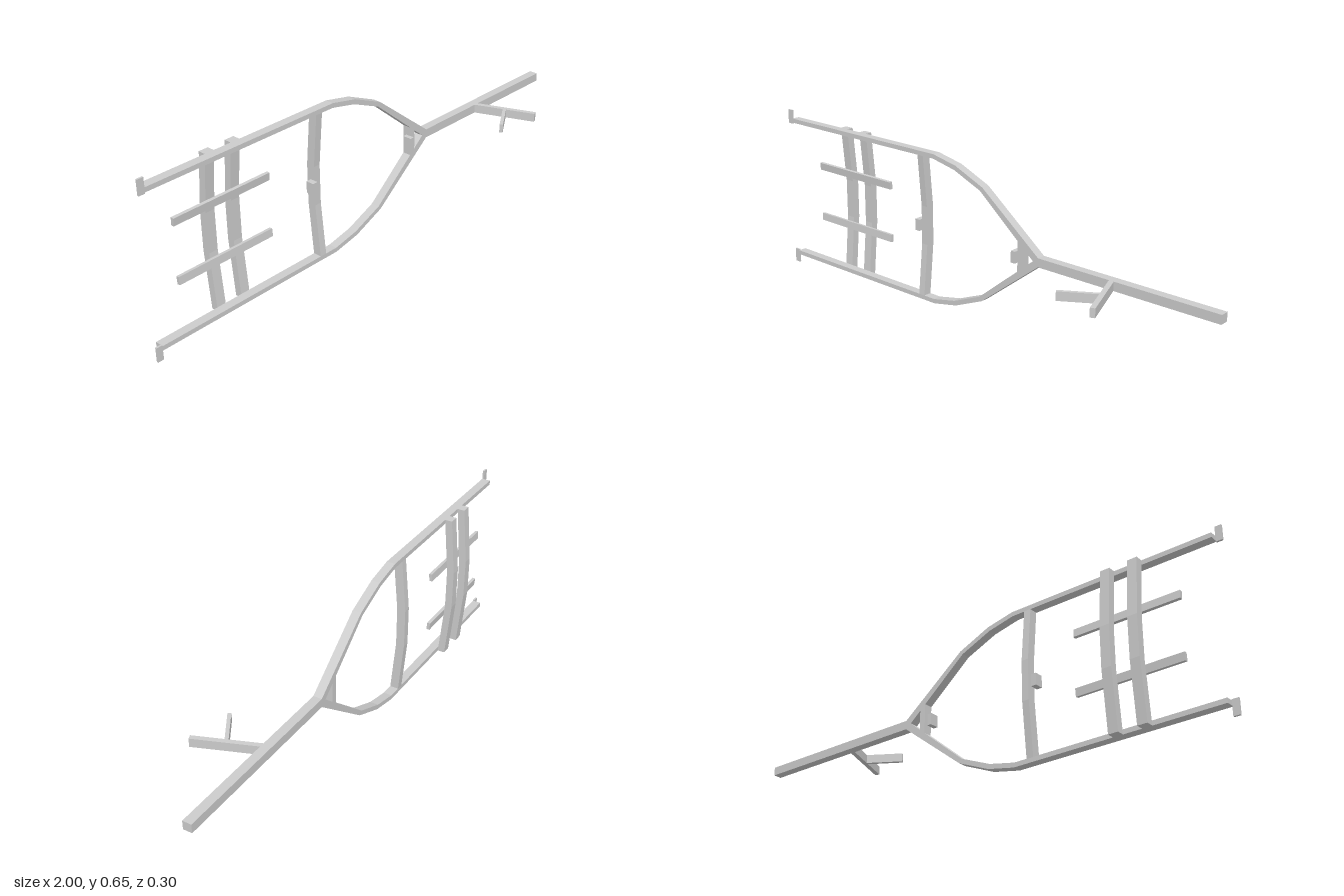
import * as THREE from 'three';

const material = new THREE.MeshStandardMaterial({ color: 0xcccccc, flatShading: true });
const MID = 0.325; // height of the frame's centre line
const FRONT = -0.071, BACK = -0.104; // z faces of the main tubes

export function createModel() {
  const group = new THREE.Group();

  const add = (name, geometry) => {
    const mesh = new THREE.Mesh(geometry, material);
    mesh.name = name;
    group.add(mesh);
    return mesh;
  };

  // Box given by its extents along each axis
  const block = (name, [x0, x1], [y0, y1], [z0, z1]) => {
    const mesh = add(name, new THREE.BoxGeometry(x1 - x0, y1 - y0, z1 - z0));
    mesh.position.set((x0 + x1) / 2, (y0 + y1) / 2, (z0 + z1) / 2);
    return mesh;
  };

  const extrude = (points, depth) => new THREE.ExtrudeGeometry(
    new THREE.Shape(points.map(([x, y]) => new THREE.Vector2(x, y))),
    { depth, bevelEnabled: false });

  // Cross beam with a bowed middle; d0 and d1 are depths behind z = 0
  const bowedBeam = (name, x, width, halfLength, d0, d1, bow) => {
    const h = halfLength, m = 0.075;
    const g = extrude([
      [d0, -h], [d1, -h], [d1 + bow, -m], [d1 + bow, m],
      [d1, h], [d0, h], [d0 + bow, m], [d0 + bow, -m],
    ], width);
    g.rotateY(Math.PI / 2);
    add(name, g).position.set(x - width / 2, MID, 0);
  };

  // Flat bar in the xz plane between two points
  const bar = (name, [x0, z0], [x1, z1], thickness) => {
    const dx = x1 - x0, dz = z1 - z0;
    const mesh = add(name, new THREE.BoxGeometry(Math.hypot(dx, dz), 0.033, thickness));
    mesh.position.set((x0 + x1) / 2, MID, (z0 + z1) / 2);
    mesh.rotation.y = -Math.atan2(dz, dx);
  };

  // Side rails that curve in to the tongue, outer edge then inner edge
  const rail = [
    [-0.977, 0.291], [-0.2, 0.291], [-0.093, 0.269], [0.034, 0.215], [0.288, 0.016], [0.288, 0],
    [0.265, 0], [0.023, 0.201], [-0.099, 0.252], [-0.202, 0.274], [-0.977, 0.274],
  ];
  for (const s of [1, -1]) {
    const side = s > 0 ? 'upper' : 'lower';
    add(side + 'Rail', extrude(rail.map(([x, y]) => [x, s * y]), FRONT - BACK))
      .position.set(0, MID, BACK);

    // End bracket
    const y0 = MID + s * 0.27, y1 = MID + s * 0.325;
    block(side + 'EndBracket', [-1, -0.977], [Math.min(y0, y1), Math.max(y0, y1)], [-0.078, FRONT]);

    // Bunk slat lying on the sloping part of the cross beams
    const slat = block(side + 'Slat', [-0.862, -0.464], [-0.0145, 0.0145], [-0.006, 0.006]);
    slat.position.y = MID + s * 0.107;
    slat.position.z = -0.115;
    slat.rotation.x = s * 0.09;
  }

  // Cross beams
  for (const x of [-0.707, -0.603]) bowedBeam('rearCrossBeam', x, 0.036, 0.291, 0.104, 0.132, 0.02);
  bowedBeam('middleCrossBeam', -0.266, 0.027, 0.275, -FRONT, -BACK, 0.019);
  block('frontCrossBeam', [0.197, 0.22], [MID - 0.058, MID + 0.058], [BACK, FRONT]);

  // Mounting tabs
  block('middleTab', [-0.3, -0.279], [0.303, 0.347], [-0.108, -0.076]);
  block('frontTab', [0.18, 0.198], [0.303, 0.347], [-0.09, -0.055]);

  // Tongue with its angled leg and brace
  block('tongue', [0.285, 0.995], [MID - 0.0165, MID + 0.0165], [BACK, FRONT]);
  bar('leg', [0.588, -0.075], [0.674, 0.148], 0.018);
  bar('legBrace', [0.628, 0.037], [0.506, 0.113], 0.013);

  return group;
}
